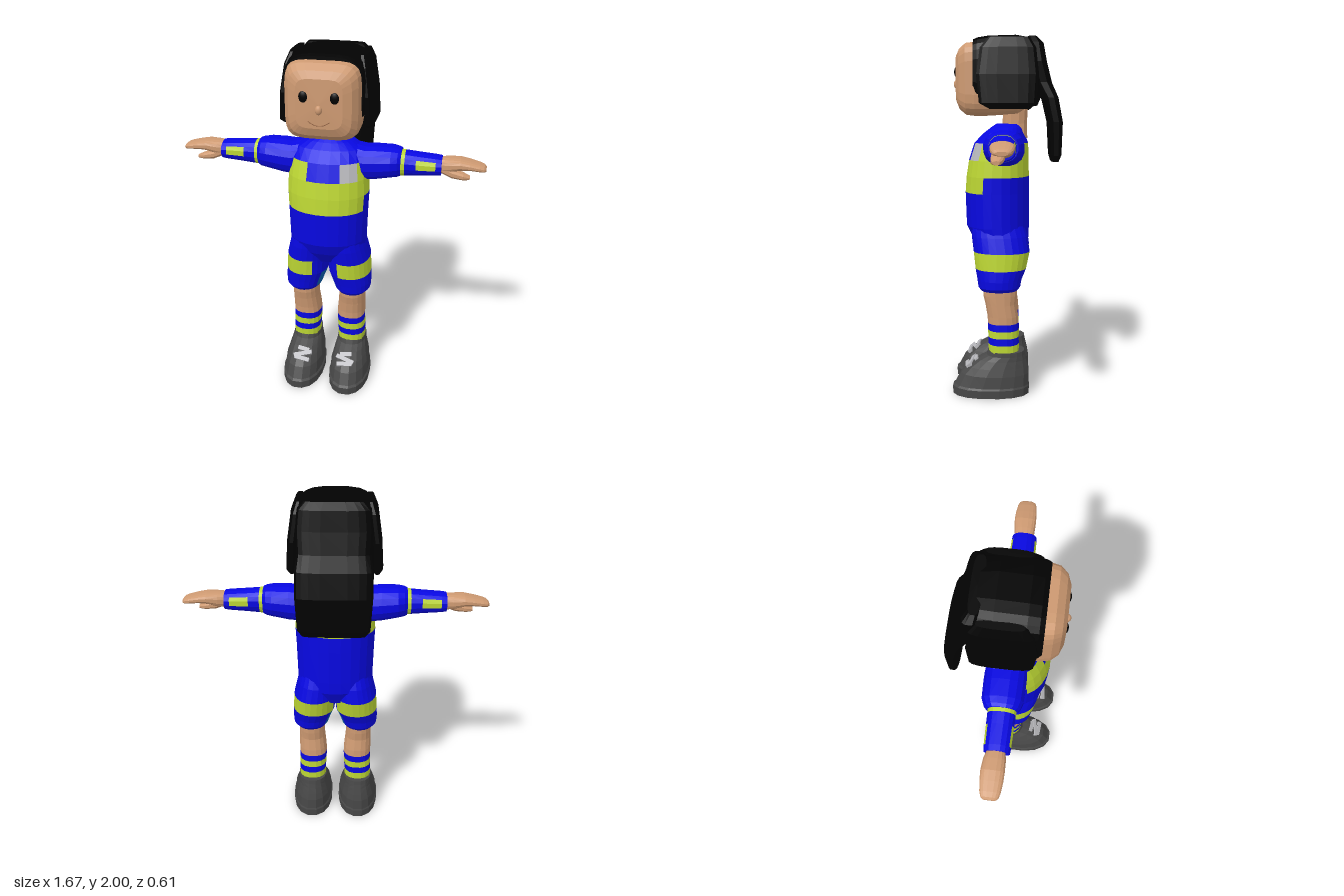
import * as THREE from 'three';

const paint = (name, color) => {
  const material = new THREE.MeshStandardMaterial({ color });
  material.name = name;
  return material;
};

// Lofted solid of faceted superellipse rings [t, cu, cv, ru, rv] along an axis.
// pick(centre, ring) returns the material index of a face.
function loft(name, axis, rings, mats, { segs = 16, p = 3, dome = 0, pick = () => 0 } = {}) {
  const place = {
    y: (t, u, v) => new THREE.Vector3(u, t, v),
    x: (t, u, v) => new THREE.Vector3(t, v, u),
    z: (t, u, v) => new THREE.Vector3(v, u, t),
  }[axis];
  const bend = (k) => Math.sign(k) * Math.abs(k) ** (2 / p);
  const points = rings.map(([t, cu, cv, ru, rv]) => {
    const row = [];
    for (let j = 0; j < segs; j++) {
      const a = ((j + 0.5) / segs) * Math.PI * 2;
      row.push(place(t, cu + ru * bend(Math.cos(a)), cv + rv * bend(Math.sin(a))));
    }
    return row;
  });
  const lists = mats.map(() => []);
  const face = (ring, ...c) => {
    const mid = c.reduce((s, v) => s.add(v), new THREE.Vector3()).divideScalar(c.length);
    const list = lists[pick(mid, ring)];
    for (let k = 1; k < c.length - 1; k++) {
      for (const v of [c[0], c[k], c[k + 1]]) list.push(v.x, v.y, v.z);
    }
  };
  const last = rings.length - 1;
  const start = place(rings[0][0], rings[0][1], rings[0][2]);
  const end = place(rings[last][0] + dome, rings[last][1], rings[last][2]);
  for (let j = 0; j < segs; j++) {
    const k = (j + 1) % segs;
    for (let i = 0; i < last; i++) {
      face(i, points[i][j], points[i + 1][j], points[i + 1][k], points[i][k]);
    }
    face(-1, start, points[0][j], points[0][k]);
    face(last, end, points[last][k], points[last][j]);
  }
  const geometry = new THREE.BufferGeometry();
  let offset = 0;
  lists.forEach((list, m) => {
    if (list.length) geometry.addGroup(offset, list.length / 3, m);
    offset += list.length / 3;
  });
  geometry.setAttribute('position', new THREE.Float32BufferAttribute(lists.flat(), 3));
  geometry.computeVertexNormals();
  const mesh = new THREE.Mesh(geometry, mats);
  mesh.name = name;
  return mesh;
}

function solid(name, geometry, material, position, scale = [1, 1, 1]) {
  const mesh = new THREE.Mesh(geometry, material);
  mesh.name = name;
  mesh.position.set(...position);
  mesh.scale.set(...scale);
  return mesh;
}

export function createModel() {
  const blue = paint('blue cloth', 0x0808e2), lime = paint('lime trim', 0xbdd734);
  const skin = paint('skin', 0xce9a72), black = paint('black hair', 0x020202);
  const shoeGrey = paint('shoe grey', 0x484848), silver = paint('silver', 0xb8b8bc);
  const teal = paint('inner cloth', 0x0c62b0), lip = paint('lip', 0x9a6a4a);
  const model = new THREE.Group();
  model.name = 'figure';

  // Shirt with chest band, shoulder panels and pocket
  model.add(loft('shirt', 'y', [
    [0.8, 0, 0.025, 0.17, 0.11], [0.88, 0, 0.035, 0.215, 0.16], [0.95, 0, 0.05, 0.217, 0.178],
    [1.14, 0, 0.053, 0.222, 0.181], [1.23, 0, 0.05, 0.226, 0.177], [1.32, 0, 0.045, 0.22, 0.168],
    [1.415, 0, 0.03, 0.21, 0.152], [1.47, 0, 0.015, 0.19, 0.112], [1.5, 0, 0, 0.135, 0.088],
    [1.52, 0, -0.01, 0.085, 0.068],
  ], [blue, lime, silver], {
    segs: 24, p: 2.15,
    pick: (c, ring) => {
      const front = c.z > 0.11;
      if (ring === 3) return front ? 1 : 0;
      if (ring === 4) return 1;
      if (ring !== 5) return 0;
      if (front && Math.abs(c.x) < 0.07) return 0;
      return front && c.x > 0 && c.x < 0.17 ? 2 : 1;
    },
  }));

  // Head and neck
  model.add(loft('neck', 'y', [
    [1.44, 0, -0.04, 0.08, 0.078], [1.52, 0, -0.045, 0.07, 0.07], [1.64, 0, -0.05, 0.072, 0.072],
  ], [skin], { segs: 12, p: 2.3 }));
  model.add(loft('head', 'z', [
    [-0.13, 1.76, 0, 0.14, 0.14], [-0.06, 1.76, 0, 0.185, 0.18], [0.1, 1.762, 0, 0.198, 0.197],
    [0.17, 1.762, 0, 0.2, 0.198], [0.22, 1.762, 0, 0.194, 0.188], [0.256, 1.762, 0, 0.165, 0.162],
    [0.275, 1.765, 0, 0.125, 0.12],
  ], [skin], { segs: 24, p: 5, dome: 0.005 }));
  const ball = new THREE.SphereGeometry(1, 14, 10);
  for (const s of [-1, 1]) {
    model.add(solid('eye', ball, black, [s * 0.079, 1.8, 0.273], [0.024, 0.03, 0.013]));
  }
  model.add(solid('nose', ball, skin, [0, 1.738, 0.28], [0.018, 0.024, 0.016]));
  const smile = new THREE.QuadraticBezierCurve3(
    new THREE.Vector3(-0.056, 1.679, 0.276), new THREE.Vector3(0, 1.634, 0.279), new THREE.Vector3(0.056, 1.679, 0.276));
  model.add(solid('mouth', new THREE.TubeGeometry(smile, 10, 0.0022, 5), lip, [0, 0, 0]));

  // Hair: crown block and long fall at the back
  model.add(loft('hairCrown', 'z', [
    [-0.2, 1.82, 0, 0.13, 0.15], [-0.17, 1.8, 0, 0.18, 0.19], [-0.05, 1.8, 0, 0.2, 0.213],
    [0.1, 1.8, 0, 0.196, 0.213], [0.155, 1.797, 0, 0.19, 0.21], [0.178, 1.8, 0, 0.178, 0.2],
  ], [black], { segs: 24, p: 3.6 }));
  model.add(loft('hairFall', 'y', [
    [1.315, 0, -0.268, 0.165, 0.022], [1.35, 0, -0.27, 0.19, 0.034], [1.53, 0, -0.268, 0.2, 0.042],
    [1.66, 0, -0.24, 0.2, 0.045], [1.74, 0, -0.2, 0.188, 0.05], [1.85, 0, -0.17, 0.195, 0.052],
    [1.95, 0, -0.155, 0.185, 0.048], [1.985, 0, -0.14, 0.15, 0.03],
  ], [black], { segs: 20, p: 3.5 }));

  // Everything that is mirrored, modelled on the +x side
  function side(name, s) {
    const g = new THREE.Group();
    g.name = name;
    g.scale.x = s;

    g.add(loft('sideHair', 'y', [
      [1.6, 0.22, -0.02, 0.018, 0.11], [1.63, 0.225, -0.01, 0.028, 0.155], [1.78, 0.215, -0.008, 0.028, 0.168],
      [1.92, 0.195, -0.01, 0.027, 0.15], [1.975, 0.18, -0.015, 0.02, 0.11],
    ], [black], { p: 3 }));

    // Sleeve, cuff ring, forearm with front and back patches
    g.add(loft('upperSleeve', 'x', [
      [0.12, 0.008, 1.4, 0.1, 0.095], [0.2, 0.01, 1.387, 0.11, 0.094], [0.25, 0.01, 1.391, 0.11, 0.094],
      [0.34, 0.01, 1.4, 0.107, 0.084], [0.375, 0.012, 1.4, 0.094, 0.079], [0.392, 0.013, 1.4, 0.08, 0.073],
    ], [blue], { p: 2.3 }));
    g.add(loft('forearmSleeve', 'x', [
      [0.37, 0.014, 1.398, 0.073, 0.07], [0.392, 0.014, 1.398, 0.073, 0.07], [0.412, 0.014, 1.398, 0.072, 0.068],
      [0.472, 0.014, 1.398, 0.071, 0.062], [0.575, 0.014, 1.398, 0.069, 0.054], [0.605, 0.014, 1.398, 0.066, 0.05],
    ], [blue, lime], {
      p: 2.25,
      pick: (c, ring) => {
        const patch = Math.abs(c.z - 0.014) > 0.056 && c.y > 1.39;
        return ring === 1 || (ring === 3 && patch) ? 1 : 0;
      },
    }));

    // Hand
    g.add(loft('hand', 'x', [
      [0.59, 0.012, 1.4, 0.045, 0.042], [0.64, 0.009, 1.405, 0.056, 0.04], [0.7, 0.007, 1.414, 0.06, 0.031],
      [0.75, 0.007, 1.411, 0.058, 0.024], [0.8, 0.007, 1.403, 0.052, 0.02], [0.825, 0.007, 1.398, 0.044, 0.016],
      [0.836, 0.007, 1.394, 0.03, 0.009],
    ], [skin], { p: 2.6 }));
    g.add(loft('thumb', 'x', [
      [0.61, 0.025, 1.386, 0.034, 0.026], [0.66, 0.03, 1.365, 0.034, 0.025], [0.72, 0.033, 1.353, 0.03, 0.019],
      [0.755, 0.034, 1.347, 0.016, 0.01],
    ], [skin], { segs: 10, p: 2.4 }));

    // Shorts leg with trim band
    g.add(loft('shortsLeg', 'y', [
      [0.598, 0.143, 0.04, 0.085, 0.102], [0.618, 0.144, 0.039, 0.103, 0.117], [0.66, 0.138, 0.038, 0.112, 0.124],
      [0.72, 0.125, 0.031, 0.122, 0.142], [0.815, 0.119, 0.026, 0.122, 0.157], [0.9, 0.108, 0.038, 0.112, 0.156],
      [0.97, 0.1, 0.05, 0.1, 0.145],
    ], [blue, lime, teal], {
      segs: 24, p: 2.15,
      pick: (c, ring) => {
        if (ring >= 0 && ring < 3 && c.x < 0.05 && Math.abs(c.z - 0.03) < 0.075) return 2;
        return ring === 3 && (c.z < -0.02 || c.x > 0.08) ? 1 : 0;
      },
    }));

    // Bare leg and striped sock
    g.add(loft('lowerLeg', 'y', [
      [0.2, 0.138, 0.012, 0.08, 0.085], [0.245, 0.138, 0.014, 0.081, 0.086], [0.29, 0.138, 0.015, 0.081, 0.087],
      [0.33, 0.136, 0.016, 0.082, 0.087], [0.37, 0.134, 0.017, 0.082, 0.087], [0.41, 0.133, 0.018, 0.082, 0.087],
      [0.45, 0.135, 0.02, 0.081, 0.087], [0.52, 0.139, 0.031, 0.077, 0.087], [0.57, 0.14, 0.034, 0.076, 0.096],
      [0.64, 0.14, 0.034, 0.076, 0.098],
    ], [skin, blue, lime], {
      p: 2.35,
      pick: (c, ring) => (ring > 4 ? 0 : ring === 2 || ring === 4 ? 1 : 2),
    }));

    // Shoe with laces
    g.add(loft('shoe', 'y', [
      [0, 0.142, 0.088, 0.121, 0.218], [0.045, 0.142, 0.087, 0.123, 0.22], [0.055, 0.142, 0.082, 0.116, 0.212],
      [0.12, 0.14, 0.065, 0.112, 0.195], [0.16, 0.139, 0.049, 0.102, 0.172], [0.2, 0.138, 0.026, 0.092, 0.139],
      [0.225, 0.138, 0.003, 0.086, 0.11], [0.25, 0.138, 0, 0.085, 0.103],
    ], [shoeGrey], { segs: 16, p: 2.2 }));
    [[0.192, 0.17, 0.15, 0.07], [0.176, 0.196, -0.3, 0.11], [0.158, 0.22, 0.12, 0.09]].forEach(([y, z, turn, width]) => {
      const lace = solid('lace', new THREE.BoxGeometry(width, 0.024, 0.018), silver, [0.13, y, z]);
      lace.rotation.set(-0.9, 0, turn);
      g.add(lace);
    });
    return g;
  }
  model.add(side('leftSide', 1), side('rightSide', -1));
  return model;
}
